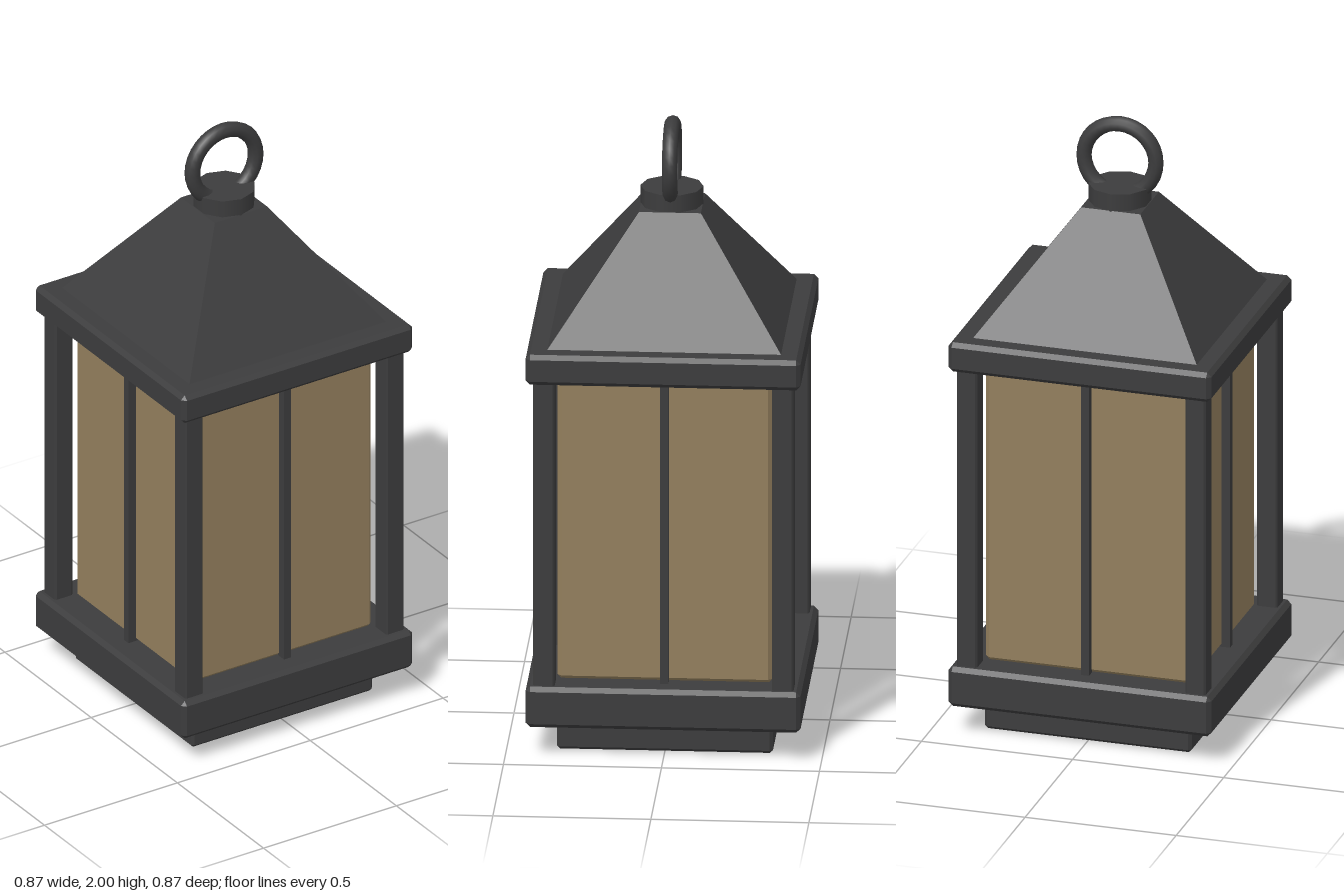
import * as THREE from 'three';
import { ConvexGeometry } from 'three/addons/geometries/ConvexGeometry.js';

const SIGNS = [-1, 1];

// Box with all edges chamfered by c, standing between heights y0 and y1
function chamferBox(w, y0, y1, d, c) {
  const hx = w / 2, hy = (y1 - y0) / 2, hz = d / 2, pts = [];
  for (const x of SIGNS) for (const y of SIGNS) for (const z of SIGNS) {
    pts.push(
      new THREE.Vector3(x * hx, y * (hy - c), z * (hz - c)),
      new THREE.Vector3(x * (hx - c), y * hy, z * (hz - c)),
      new THREE.Vector3(x * (hx - c), y * (hy - c), z * hz));
  }
  return new ConvexGeometry(pts).translate(0, (y0 + y1) / 2, 0);
}

// Square frustum with half-widths h0 (bottom) and h1 (top)
function frustum(h0, y0, h1, y1) {
  const pts = [];
  for (const x of SIGNS) for (const z of SIGNS) {
    pts.push(new THREE.Vector3(x * h0, y0, z * h0), new THREE.Vector3(x * h1, y1, z * h1));
  }
  return new ConvexGeometry(pts);
}

export function createModel() {
  const lantern = new THREE.Group();
  lantern.name = 'lantern';

  const metal = new THREE.MeshStandardMaterial({ color: 0x3c3c3d });
  metal.name = 'dark metal';
  const glass = new THREE.MeshStandardMaterial({ color: 0x937f5d });
  glass.name = 'amber glass';

  const add = (name, geometry, material = metal, x = 0, y = 0, z = 0) => {
    const mesh = new THREE.Mesh(geometry, material);
    mesh.name = name;
    mesh.position.set(x, y, z);
    lantern.add(mesh);
    return mesh;
  };

  // Stepped base and upper rim
  add('foot', chamferBox(0.684, 0, 0.1, 0.684, 0.01));
  add('base', chamferBox(0.87, 0.1, 0.235, 0.87, 0.014));
  add('upperRim', chamferBox(0.87, 1.243, 1.343, 0.87, 0.014));

  // Glass body
  add('glass', chamferBox(0.68, 0.233, 1.245, 0.68, 0.013), glass);

  // Corner posts
  const postGeometry = chamferBox(0.068, 0.225, 1.25, 0.068, 0.006);
  for (const x of SIGNS) for (const z of SIGNS) {
    add('cornerPost', postGeometry, metal, x * 0.378, 0, z * 0.378);
  }

  // One slim bar down the middle of each pane
  const barGeometry = new THREE.BoxGeometry(0.026, 1.02, 0.034).translate(0, 0.739, 0.351);
  for (let i = 0; i < 4; i++) add('glazingBar', barGeometry).rotation.y = i * Math.PI / 2;

  // Pyramid roof, collar and hanging ring
  add('roof', frustum(0.372, 1.34, 0.098, 1.716));
  add('collar', new THREE.CylinderGeometry(0.1, 0.1, 0.06, 10), metal, 0, 1.743, 0);
  add('hangingRing', new THREE.TorusGeometry(0.119, 0.025, 10, 32), metal, 0, 1.856, 0);

  return lantern;
}
